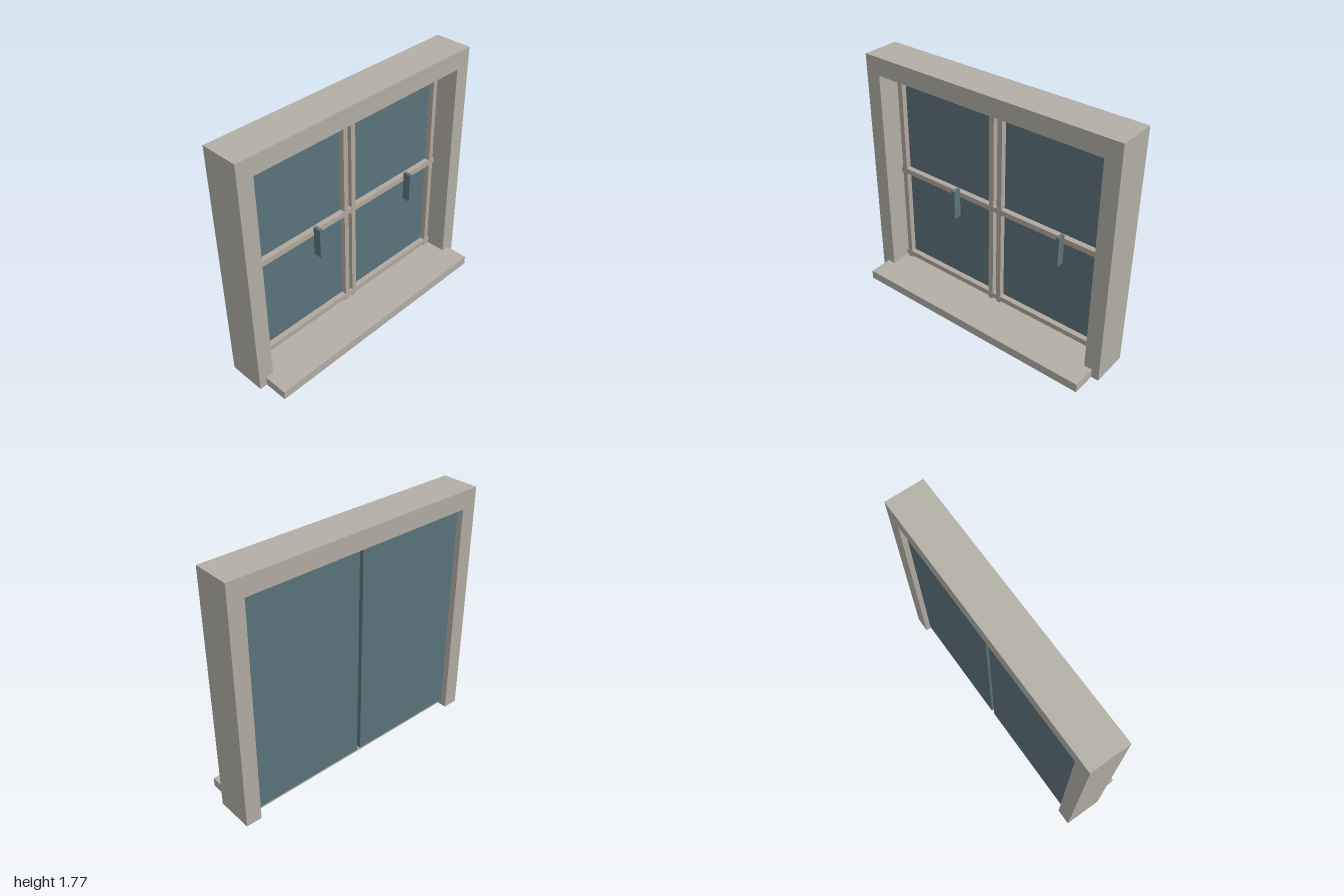
import * as THREE from 'three';

const material = (name, color) => {
  const m = new THREE.MeshStandardMaterial({ color });
  m.name = name;
  return m;
};

export function createModel() {
  const group = new THREE.Group();
  group.name = 'window';
  const stone = material('stone grey', 0xb3afa5);
  const paint = material('warm grey', 0xb1a99f);
  const glass = material('blue glass', 0x5c747c);

  // Box given by its minimum and maximum corners
  const box = (name, mat, [x0, y0, z0], [x1, y1, z1]) => {
    const mesh = new THREE.Mesh(new THREE.BoxGeometry(x1 - x0, y1 - y0, z1 - z0), mat);
    mesh.position.set((x0 + x1) / 2, (y0 + y1) / 2, (z0 + z1) / 2);
    mesh.name = name;
    group.add(mesh);
  };

  // Surround: two jambs and a lintel in one piece
  const outline = new THREE.Shape([
    [-1, 0], [-0.885, 0], [-0.885, 1.643], [0.885, 1.643],
    [0.885, 0], [1, 0], [1, 1.773], [-1, 1.773],
  ].map(([x, y]) => new THREE.Vector2(x, y)));
  const surround = new THREE.Mesh(
    new THREE.ExtrudeGeometry(outline, { depth: 0.275, bevelEnabled: false }), stone);
  surround.position.z = -0.227;
  surround.name = 'surround';
  group.add(surround);

  box('sill', stone, [-0.945, 0, -0.155], [0.945, 0.067, 0.227]);

  for (const side of [-1, 1]) {
    const label = side < 0 ? 'right' : 'left';
    const cx = side * 0.441;

    // Pane with a narrow gap to its neighbour and to the jamb
    box(`${label}Pane`, glass, [cx - 0.426, 0.06, -0.195], [cx + 0.426, 1.638, -0.14]);

    // Upright bars along both edges of the pane
    for (const edge of [-1, 1]) {
      const x = cx + edge * 0.407;
      box(`${label}Upright`, paint, [x - 0.019, 0.06, -0.14], [x + 0.019, 1.638, -0.1]);
    }

    // Crossbars, a little longer than the pane
    for (const y of [0.105, 0.856, 1.618]) {
      box(`${label}Crossbar`, paint, [cx - 0.441, y - 0.02, -0.14], [cx + 0.441, y + 0.02, -0.099]);
    }

    // Handle standing on the middle crossbar
    const hx = cx + 0.115;
    box(`${label}Handle`, glass, [hx - 0.0125, 0.68, -0.1], [hx + 0.0125, 0.905, -0.04]);
  }
  return group;
}
